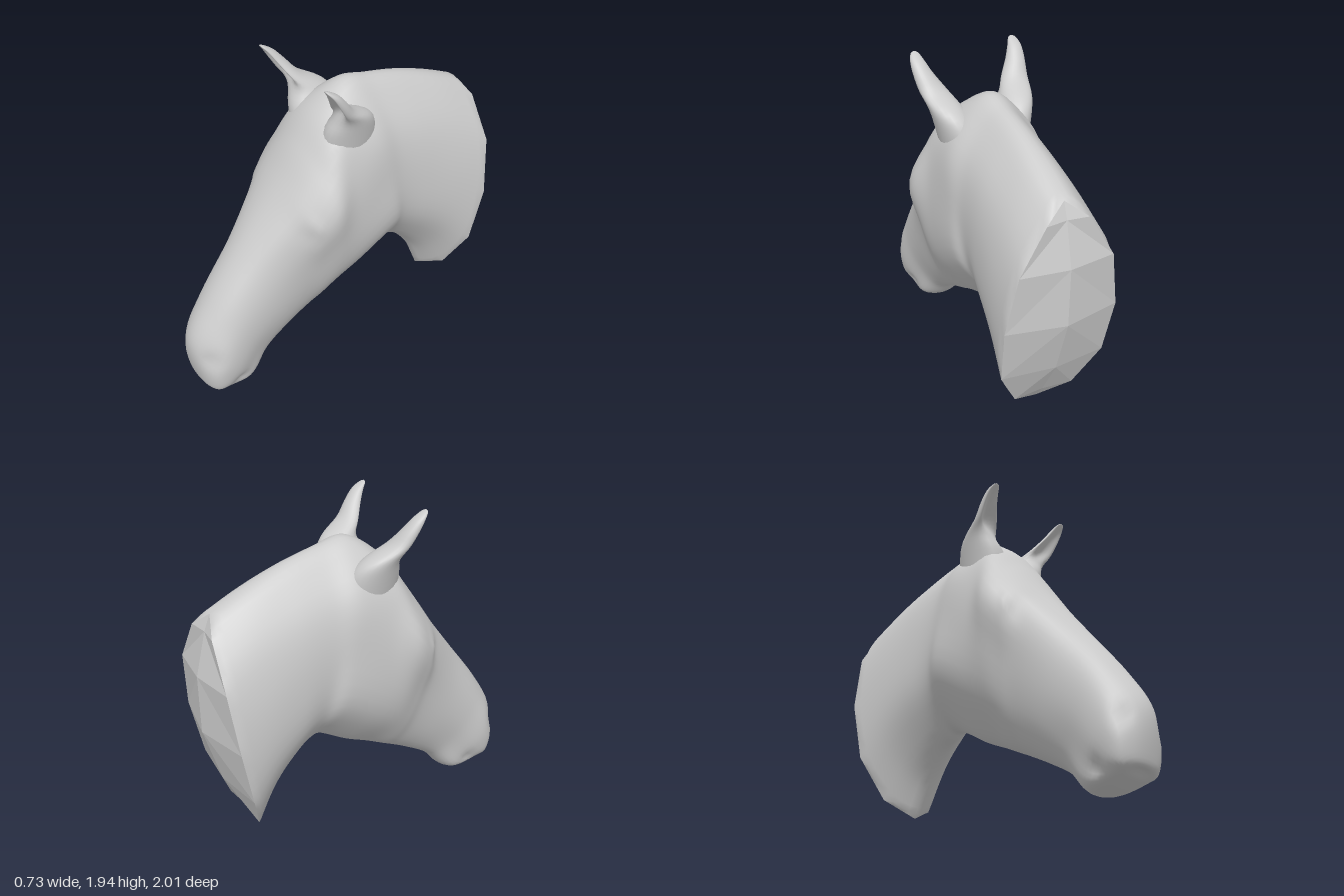
import * as THREE from 'three';

const MAT = new THREE.MeshStandardMaterial({ color: 0xcccccc, side: THREE.DoubleSide });
const RING = 48, STEPS = 7, FACET = 4;

// Smooth tube through closed rings of Vector3
function loft(rings, name) {
  const n = rings[0].length, index = [];
  for (let i = 0; i < rings.length - 1; i++) {
    for (let j = 0; j < n; j++) {
      const k = (j + 1) % n, a = i * n + j, b = i * n + k, c = a + n, d = b + n;
      index.push(a, c, b, b, c, d);
    }
  }
  const geo = new THREE.BufferGeometry().setFromPoints(rings.flat());
  geo.setIndex(index);
  geo.computeVertexNormals();
  const mesh = new THREE.Mesh(geo, MAT);
  mesh.name = name;
  return mesh;
}

// Smooths between rings, column by column
function refine(rings, steps) {
  const total = (rings.length - 1) * steps;
  const columns = rings[0].map((_, j) =>
    new THREE.CatmullRomCurve3(rings.map(r => r[j]), false, 'catmullrom', 0.5).getPoints(total));
  return Array.from({ length: total + 1 }, (_, i) => columns.map(c => c[i]));
}

// Cross-sections from the neck cut to the muzzle:
// top z, top y, bottom z, bottom y, half widths at 30..150 degrees
const SECTIONS = [
  [-0.90, 1.52, -0.70, 0.15, [0.12, 0.27, 0.33, 0.31, 0.18]],
  [-0.68, 1.62, -0.61, 0.36, [0.12, 0.25, 0.31, 0.29, 0.16]],
  [-0.46, 1.70, -0.50, 0.50, [0.11, 0.24, 0.29, 0.27, 0.14]],
  [-0.25, 1.75, -0.40, 0.57, [0.11, 0.24, 0.28, 0.25, 0.12]],
  [-0.07, 1.775, -0.31, 0.60, [0.13, 0.27, 0.30, 0.29, 0.14]],
  [0.12, 1.65, -0.10, 0.48, [0.21, 0.30, 0.32, 0.28, 0.13]],
  [0.25, 1.48, 0.05, 0.41, [0.21, 0.36, 0.33, 0.26, 0.12]],
  [0.36, 1.31, 0.15, 0.36, [0.22, 0.33, 0.29, 0.23, 0.12]],
  [0.46, 1.17, 0.23, 0.32, [0.19, 0.26, 0.25, 0.20, 0.11]],
  [0.64, 0.94, 0.36, 0.25, [0.14, 0.21, 0.22, 0.18, 0.10]],
  [0.86, 0.65, 0.52, 0.15, [0.12, 0.19, 0.20, 0.16, 0.10]],
  [1.00, 0.40, 0.66, 0.01, [0.10, 0.19, 0.20, 0.16, 0.12]],
  [0.98, 0.13, 0.86, 0.04, [0.08, 0.13, 0.15, 0.13, 0.09]],
];

function sectionRing([tz, ty, bz, by, w]) {
  // Half width as a smooth curve, mirrored past both ends
  const curve = new THREE.SplineCurve(
    [-w[0], 0, ...w, 0, -w[4]].map((v, i) => new THREE.Vector2(i, v)));
  // Neck sections bow backward, most at the cut
  const bow = 0.13 * Math.max(0, (-0.2 - tz) / 0.7) ** 1.5;
  return Array.from({ length: RING }, (_, j) => {
    const a = (j / RING) * Math.PI * 2;
    const half = a <= Math.PI ? a : Math.PI * 2 - a;
    const t = (1 - Math.cos(half)) / 2;
    const x = curve.getPoint((half / (Math.PI / 6) + 1) / 8).y * (a <= Math.PI ? 1 : -1);
    return new THREE.Vector3(x, ty + (by - ty) * t, tz + (bz - tz) * t - bow * Math.sin(half));
  });
}

// Small sideways swellings and hollows: x, y, z, radius, amount
const DETAILS = [
  [0.32, 1.13, 0.33, 0.04, 0.015],  // eyeball
  [0.31, 1.07, 0.38, 0.06, -0.012], // hollow below the eye
  [0.15, 0.33, 0.95, 0.06, -0.025], // nostril
  [0.16, 0.10, 0.77, 0.04, -0.015], // mouth corner
];

function sculpt(p) {
  const side = Math.sign(p.x), ax = Math.abs(p.x);
  if (ax < 0.04) return;
  for (const [x, y, z, r, amount] of DETAILS) {
    const d2 = (ax - x) ** 2 + (p.y - y) ** 2 + (p.z - z) ** 2;
    p.x += side * amount * Math.exp(-d2 / (r * r));
  }
}

// Ear rings: y, centre x, centre z, radius x, radius z, hollow
const EAR = [
  [1.42, 0.13, -0.01, 0.11, 0.17, 0],
  [1.58, 0.165, 0.0, 0.112, 0.155, 0],
  [1.68, 0.21, 0.025, 0.092, 0.115, 0.2],
  [1.76, 0.248, 0.11, 0.077, 0.065, 1.2],
  [1.84, 0.28, 0.165, 0.056, 0.05, 1.3],
  [1.90, 0.295, 0.205, 0.04, 0.035, 1],
  [1.935, 0.297, 0.238, 0.022, 0.015, 0.5],
  [1.945, 0.297, 0.248, 0, 0, 0],
];

function ear(side) {
  const rings = EAR.map(([y, cx, cz, rx, rz, hollow]) =>
    Array.from({ length: 24 }, (_, j) => {
      const a = side * (j / 24) * Math.PI * 2;
      const s = Math.sin(a);
      // The front of the ring is pushed back to form the cup
      const dz = rz * (s > 0 ? s - hollow * s ** 3 : s);
      return new THREE.Vector3(side * (cx + rx * Math.cos(a)), y, cz + dz);
    }));
  return loft(refine(rings, 4), side > 0 ? 'leftEar' : 'rightEar');
}

// Straightens the rim of the cut into a few edges
function facetRim(rim) {
  rim.forEach((p, j) => {
    const k = j % FACET;
    if (k) p.lerpVectors(rim[j - k], rim[(j - k + FACET) % RING], k / FACET);
  });
}

// Faceted face closing the neck, raised along a central spine
function neckCut(rim) {
  const rows = RING / 2 / FACET, top = rim[0], bottom = rim[RING / 2];
  const spine = i => {
    const a = (i / rows) * Math.PI;
    const p = top.clone().lerp(bottom, (1 - Math.cos(a)) / 2);
    p.z -= 0.2 * Math.sin(a) ** 2;
    return p;
  };
  const points = [];
  for (let i = 0; i < rows; i++) {
    const s0 = spine(i), s1 = spine(i + 1);
    const l0 = rim[i * FACET], l1 = rim[(i + 1) * FACET];
    const r0 = rim[(RING - i * FACET) % RING], r1 = rim[RING - (i + 1) * FACET];
    points.push(s0, l0, l1, s0, l1, s1, s0, r1, r0, s0, s1, r1);
  }
  const geo = new THREE.BufferGeometry().setFromPoints(points);
  geo.computeVertexNormals();
  const mat = MAT.clone();
  mat.flatShading = true;
  const mesh = new THREE.Mesh(geo, mat);
  mesh.name = 'neckCut';
  return mesh;
}

export function createModel() {
  const group = new THREE.Group();
  group.name = 'horseHead';
  // The muzzle closes to a point between the lips
  const lips = Array.from({ length: RING }, () => new THREE.Vector3(0, 0.08, 0.93));
  const rings = refine([...SECTIONS.map(sectionRing), lips], STEPS);
  rings.flat().forEach(sculpt);
  facetRim(rings[0]);
  group.add(loft(rings, 'headAndNeck'), neckCut(rings[0]), ear(1), ear(-1));
  return group;
}
